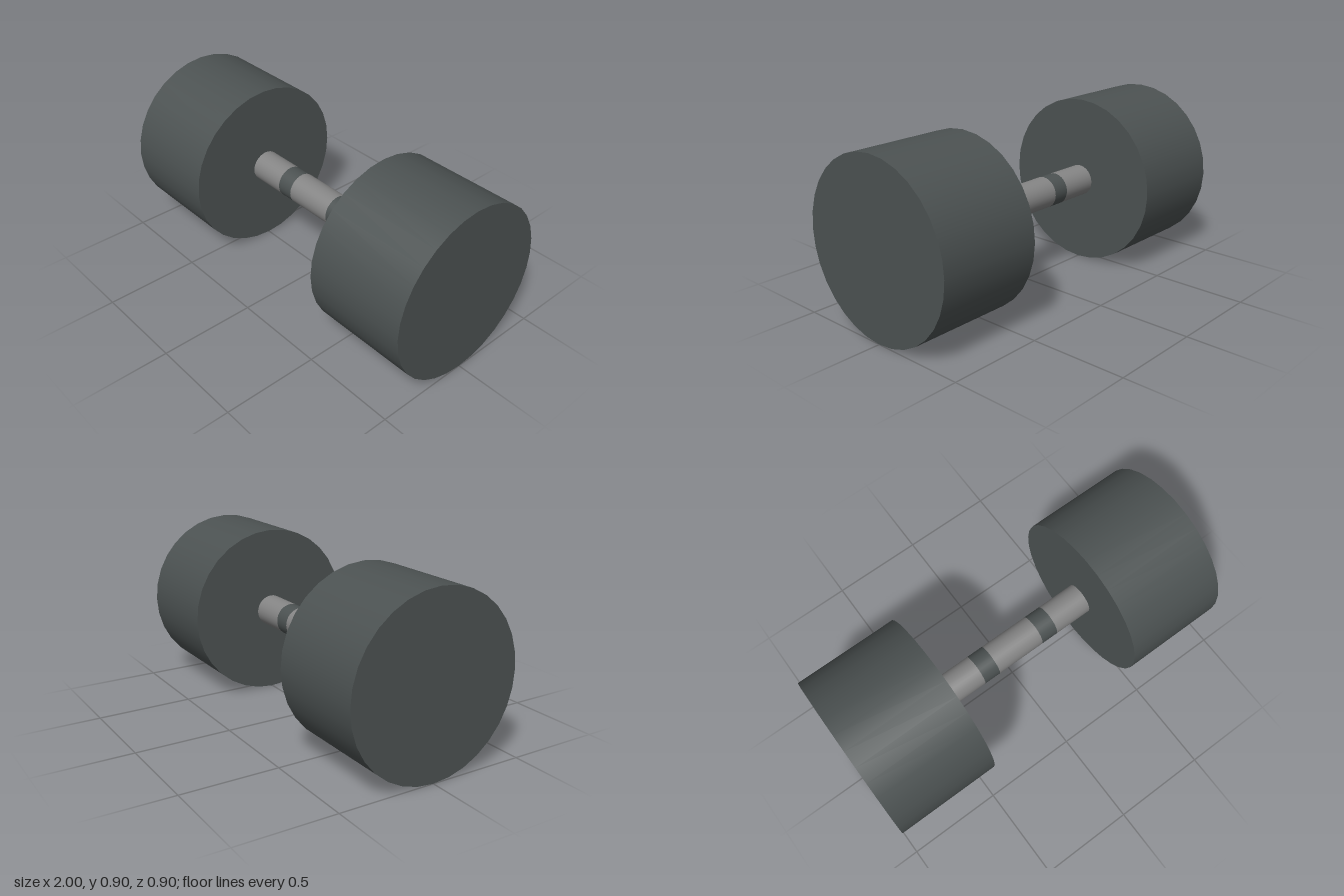
import * as THREE from 'three';

export function createModel() {
  const group = new THREE.Group();
  const rubber = new THREE.MeshStandardMaterial({ color: 0x4c5252 });
  rubber.name = 'dark rubber';
  const steel = new THREE.MeshStandardMaterial({ color: 0x858585 });
  steel.name = 'grey steel';

  const axisY = 0.4515;

  // Cylinder lying along x from x0 to x1
  function rod(name, radius, x0, x1, material, open = false) {
    const geometry = new THREE.CylinderGeometry(radius, radius, x1 - x0, 32, 1, open);
    geometry.rotateZ(-Math.PI / 2);
    const mesh = new THREE.Mesh(geometry, material);
    mesh.name = name;
    mesh.position.set((x0 + x1) / 2, axisY, 0);
    group.add(mesh);
  }

  // Weights at both ends
  rod('rightWeight', axisY, -1, -0.443, rubber);
  rod('leftWeight', axisY, 0.443, 1, rubber);

  // Handle, split where the two dark grip bands run flush with the bar
  const stops = [-0.443, -0.232, -0.14, 0.135, 0.23, 0.443];
  const names = ['handleRight', 'gripBandRight', 'handleMiddle', 'gripBandLeft', 'handleLeft'];
  names.forEach((name, i) =>
    rod(name, 0.083, stops[i], stops[i + 1], i % 2 ? rubber : steel, true));

  return group;
}
